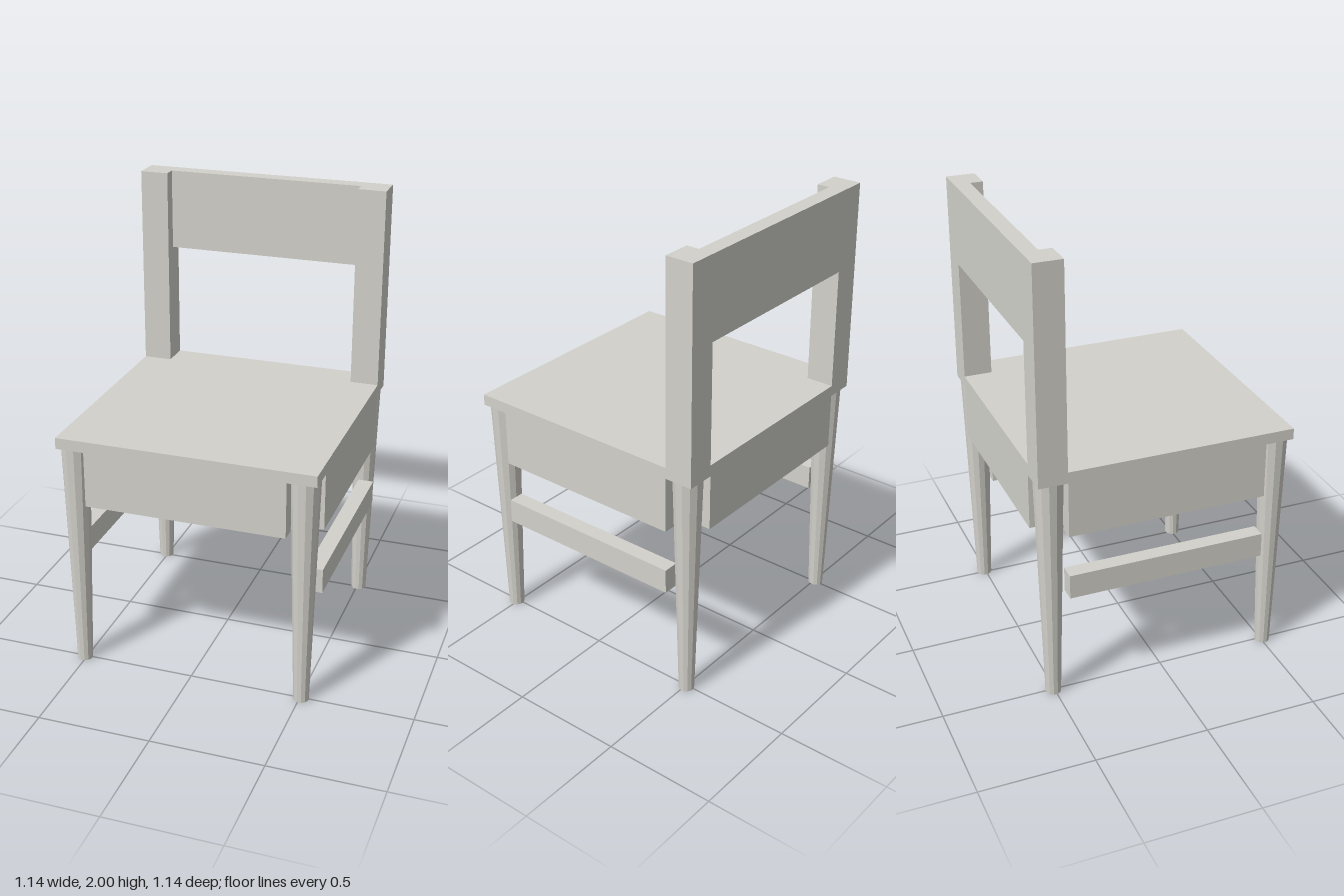
import * as THREE from 'three';

export function createModel() {
  const chair = new THREE.Group();
  chair.name = 'chair';
  const wood = new THREE.MeshStandardMaterial({ color: 0xd2d1ca });
  wood.name = 'paleWood';
  const legWood = wood.clone();
  legWood.name = 'paleWoodFaceted';
  legWood.flatShading = true;

  const OUT = 0.57;      // outer edge of the frame
  const IN = 0.443;      // inner edge of posts and legs
  const T = 0.07;        // board thickness
  const MID = (OUT + IN) / 2;

  // box given by its lowest and highest corners
  function board(name, x0, x1, y0, y1, z0, z1) {
    const mesh = new THREE.Mesh(new THREE.BoxGeometry(x1 - x0, y1 - y0, z1 - z0), wood);
    mesh.position.set((x0 + x1) / 2, (y0 + y1) / 2, (z0 + z1) / 2);
    mesh.name = name;
    chair.add(mesh);
  }

  // seat and back rest
  board('seat', -OUT, OUT, 1.05, 1.1, -OUT, OUT);
  board('backRest', -IN, IN, 1.64, 2, -OUT, -OUT + T);

  // aprons under the seat, front and back
  board('frontApron', -IN, IN, 0.8, 1.05, OUT - T, OUT);
  board('backApron', -IN, IN, 0.8, 1.05, -OUT, -OUT + T);

  // tapered faceted leg
  const legGeometry = new THREE.CylinderGeometry(0.063, 0.034, 1.05, 12);
  legGeometry.rotateY(Math.PI / 12);

  for (const side of [1, -1]) {
    const label = side > 0 ? 'left' : 'right';
    const span = (a, b) => (side > 0 ? [a, b] : [-b, -a]);
    board(label + 'BackPost', ...span(IN, OUT), 1.1, 2, -OUT, -IN);
    board(label + 'Apron', ...span(OUT - T, OUT), 0.8, 1.05, -IN, IN);
    board(label + 'Stretcher', ...span(OUT - T, OUT), 0.5, 0.61, -IN, IN);
    for (const end of [1, -1]) {
      const leg = new THREE.Mesh(legGeometry, legWood);
      leg.position.set(side * MID, 0.525, end * MID);
      leg.name = label + (end > 0 ? 'FrontLeg' : 'BackLeg');
      chair.add(leg);
    }
  }
  return chair;
}
